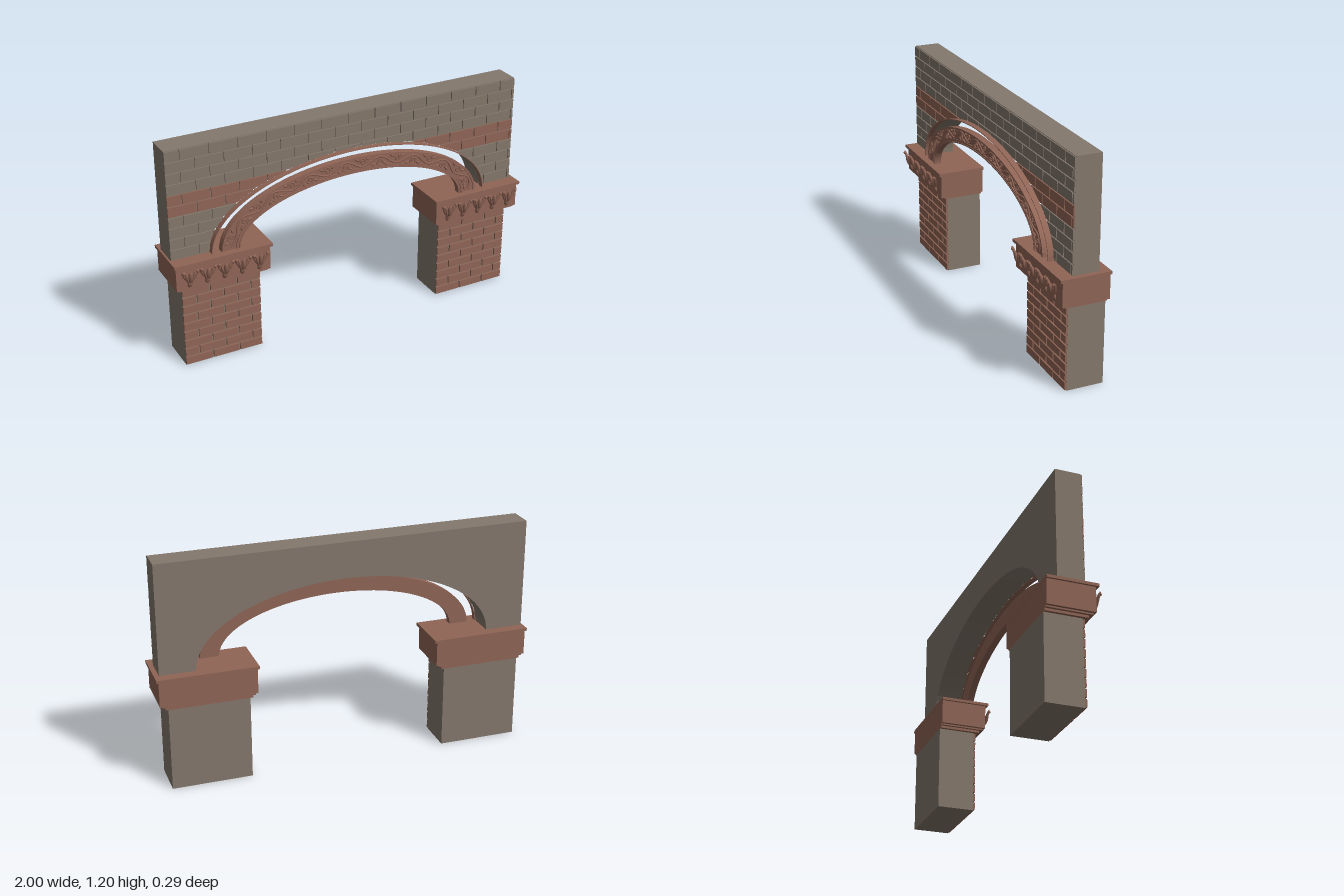
import * as THREE from 'three';

const stone = new THREE.MeshStandardMaterial({ color: 0x84786c });
stone.name = 'grey stone';
const brick = new THREE.MeshStandardMaterial({ color: 0x906556 });
brick.name = 'red brick';

const SPRING = 0.612, TOP = 1.195, A = 0.787, B = 0.39; // arch opening
const X0 = -0.99, X1 = 0.975;

function mesh(name, geometry, material, parent) {
  const m = new THREE.Mesh(geometry, material);
  m.name = name;
  parent.add(m);
  return m;
}

// Box given by its limits
function block(name, x0, x1, y0, y1, z0, z1, material, parent) {
  const m = mesh(name, new THREE.BoxGeometry(x1 - x0, y1 - y0, z1 - z0), material, parent);
  m.position.set((x0 + x1) / 2, (y0 + y1) / 2, (z0 + z1) / 2);
  return m;
}

// Flat outline pushed from z0 to z1
function slab(points, z0, z1) {
  const g = new THREE.ExtrudeGeometry(new THREE.Shape(points), { depth: z1 - z0, bevelEnabled: false });
  return g.translate(0, 0, z0);
}

// Upper half of an ellipse, from right to left
function halfEllipse(a, b, n = 48) {
  return Array.from({ length: n + 1 }, (_, i) => {
    const t = (Math.PI * i) / n;
    return new THREE.Vector2(a * Math.cos(t), SPRING + b * Math.sin(t));
  });
}

function archBand(name, a, b, ai, bi, z0, z1, parent) {
  const pts = [...halfEllipse(a, b), ...halfEllipse(ai, bi).reverse()];
  return mesh(name, slab(pts, z0, z1), brick, parent);
}

// Calls put(row, x0, x1, y0, y1) for each brick of a running bond
function bond(x0, x1, y0, y1, rows, width, gap, put) {
  const h = (y1 - y0) / rows;
  for (let r = 0; r < rows; r++) {
    for (let x = x0 - (r % 2 ? width / 2 : 0); x < x1 - 0.001; x += width) {
      const l = Math.max(x, x0), e = Math.min(x + width, x1);
      if (e - l < 0.012) continue;
      put(r, l === x0 ? l : l + gap / 2, e === x1 ? e : e - gap / 2,
        y0 + r * h + gap / 2, y0 + (r + 1) * h - gap / 2);
    }
  }
}

function buildWall(parent) {
  const wall = new THREE.Group();
  wall.name = 'wall';
  const V = (x, y) => new THREE.Vector2(x, y);
  const outline = [V(X0, SPRING), ...halfEllipse(A, B).reverse(), V(X1, SPRING), V(X1, TOP), V(X0, TOP)];
  mesh('wallBody', slab(outline, -0.09, 0.043), stone, wall);

  // Facing bricks, trimmed where they meet the opening
  const archY = x => (Math.abs(x) < A ? SPRING + B * Math.sqrt(1 - (x / A) ** 2) : 0);
  bond(X0, X1, SPRING, TOP, 10, 0.15, 0.006, (r, l, e, y0, y1) => {
    const k = (y1 - SPRING) / B;
    const limit = k < 1 ? A * Math.sqrt(1 - k * k) : 0;
    if (limit && l + e < 0) e = Math.min(e, -limit);
    else if (limit) l = Math.max(l, limit);
    if (e - l < 0.004) return;
    const pts = [V(e, y1), V(l, y1)];
    for (let i = 0; i <= 10; i++) {
      const x = l + ((e - l) * i) / 10;
      const y = Math.max(y0, archY(x));
      if (y < y1 - 1e-4) pts.push(V(x, y));
    }
    mesh('wallBrick', slab(pts, 0.043, 0.05), r === 4 || r === 5 ? brick : stone, wall);
  });
  parent.add(wall);
}

function buildArch(parent) {
  const arch = new THREE.Group();
  arch.name = 'arch';
  archBand('outerRim', A, B, A - 0.004, B - 0.004, 0.05, 0.08, arch);
  archBand('archRing', 0.735, 0.348, 0.635, 0.263, 0.045, 0.078, arch);
  archBand('outerMoulding', 0.735, 0.348, 0.724, 0.338, 0.078, 0.084, arch);
  archBand('innerMoulding', 0.658, 0.285, 0.65, 0.277, 0.078, 0.084, arch);
  archBand('innerEdge', 0.642, 0.27, 0.635, 0.263, 0.078, 0.082, arch);

  // Scrolling vine along the middle of the ring
  const mid = new THREE.EllipseCurve(0, SPRING, 0.691, 0.311, 0, Math.PI);
  const at = (u, off) => {
    const p = mid.getPointAt(u), t = mid.getTangentAt(u);
    return new THREE.Vector3(p.x + t.y * off, p.y - t.x * off, 0.08);
  };
  const N = 16;
  const vine = Array.from({ length: N * 6 + 1 }, (_, i) =>
    at(0.01 + (0.98 * i) / (N * 6), 0.02 * Math.sin((Math.PI * i) / 6)));
  mesh('vine', new THREE.TubeGeometry(new THREE.CatmullRomCurve3(vine), 200, 0.005, 6), brick, arch);

  const leafShape = new THREE.SphereGeometry(1, 10, 6);
  for (let k = 0; k < N; k++) {
    const side = k % 2 ? -1 : 1;
    const u = 0.01 + (0.98 * (k + 0.5)) / N;
    const c = at(u, -side * 0.006);
    const tan = mid.getTangentAt(u), ang = Math.atan2(tan.y, tan.x);
    const curl = Array.from({ length: 14 }, (_, i) => {
      const r = 0.021 - 0.0013 * i, a = ang + side * i * 0.6;
      return new THREE.Vector3(c.x + r * Math.cos(a), c.y + r * Math.sin(a), 0.081);
    });
    mesh('vineCurl', new THREE.TubeGeometry(new THREE.CatmullRomCurve3(curl), 28, 0.004, 5), brick, arch);
    for (const s of [-1, 1]) {
      const leaf = mesh('vineLeaf', leafShape, brick, arch);
      leaf.position.copy(at(u + s * 0.02, -side * 0.02));
      leaf.scale.set(0.014, 0.006, 0.007);
      leaf.rotation.z = ang + s * side * 0.6;
    }
  }
  parent.add(arch);
}

// Carved leaf: rounded bud, curling side petals and a pointed tip
function buildLeaf() {
  const leaf = new THREE.Group();
  leaf.name = 'carvedLeaf';
  const ball = new THREE.SphereGeometry(1, 10, 8);
  const petal = (name, x, y, z, sx, sy, sz, rot) => {
    const m = mesh(name, ball, brick, leaf);
    m.position.set(x, y, z);
    m.scale.set(sx, sy, sz);
    m.rotation.z = rot;
  };
  petal('leafBud', 0, 0.066, 0.008, 0.012, 0.034, 0.011, 0);
  for (const s of [-1, 1]) {
    petal('innerPetal', s * 0.016, 0.058, 0.004, 0.007, 0.04, 0.009, -s * 0.3);
    petal('outerPetal', s * 0.029, 0.07, 0, 0.007, 0.042, 0.008, -s * 0.45);
    petal('petalTip', s * 0.036, 0.098, 0.004, 0.009, 0.009, 0.009, 0);
  }
  petal('leafTip', 0, 0.022, 0.002, 0.014, 0.024, 0.009, 0);
  return leaf;
}

function buildPillar(cx, parent) {
  const pillar = new THREE.Group();
  pillar.name = cx < 0 ? 'rightPillar' : 'leftPillar';
  pillar.position.x = cx;
  block('shaft', -0.21, 0.21, 0, 0.447, -0.143, 0.052, stone, pillar);
  bond(-0.21, 0.21, 0, 0.445, 9, 0.147, 0.009, (r, l, e, y0, y1) =>
    block('pillarBrick', l, e, y0, y1, 0.052, 0.062, brick, pillar));

  // Stepped capital
  block('capitalFoot', -0.225, 0.225, 0.445, 0.458, -0.143, 0.077, brick, pillar);
  block('capitalStep', -0.238, 0.238, 0.458, 0.466, -0.143, 0.097, brick, pillar);
  block('capital', -0.252, 0.252, 0.466, 0.597, -0.143, 0.104, brick, pillar);
  block('capitalSlab', -0.2625, 0.2625, 0.597, SPRING, -0.145, 0.118, brick, pillar);
  for (let i = -2; i <= 2; i++) {
    const leaf = buildLeaf();
    leaf.position.set(i * 0.0935, 0.484, 0.109);
    leaf.rotation.x = 0.24;
    pillar.add(leaf);
  }
  parent.add(pillar);
}

export function createModel() {
  const model = new THREE.Group();
  model.name = 'brickArch';
  buildWall(model);
  buildArch(model);
  for (const s of [-1, 1]) buildPillar(s * 0.7375, model);
  return model;
}
